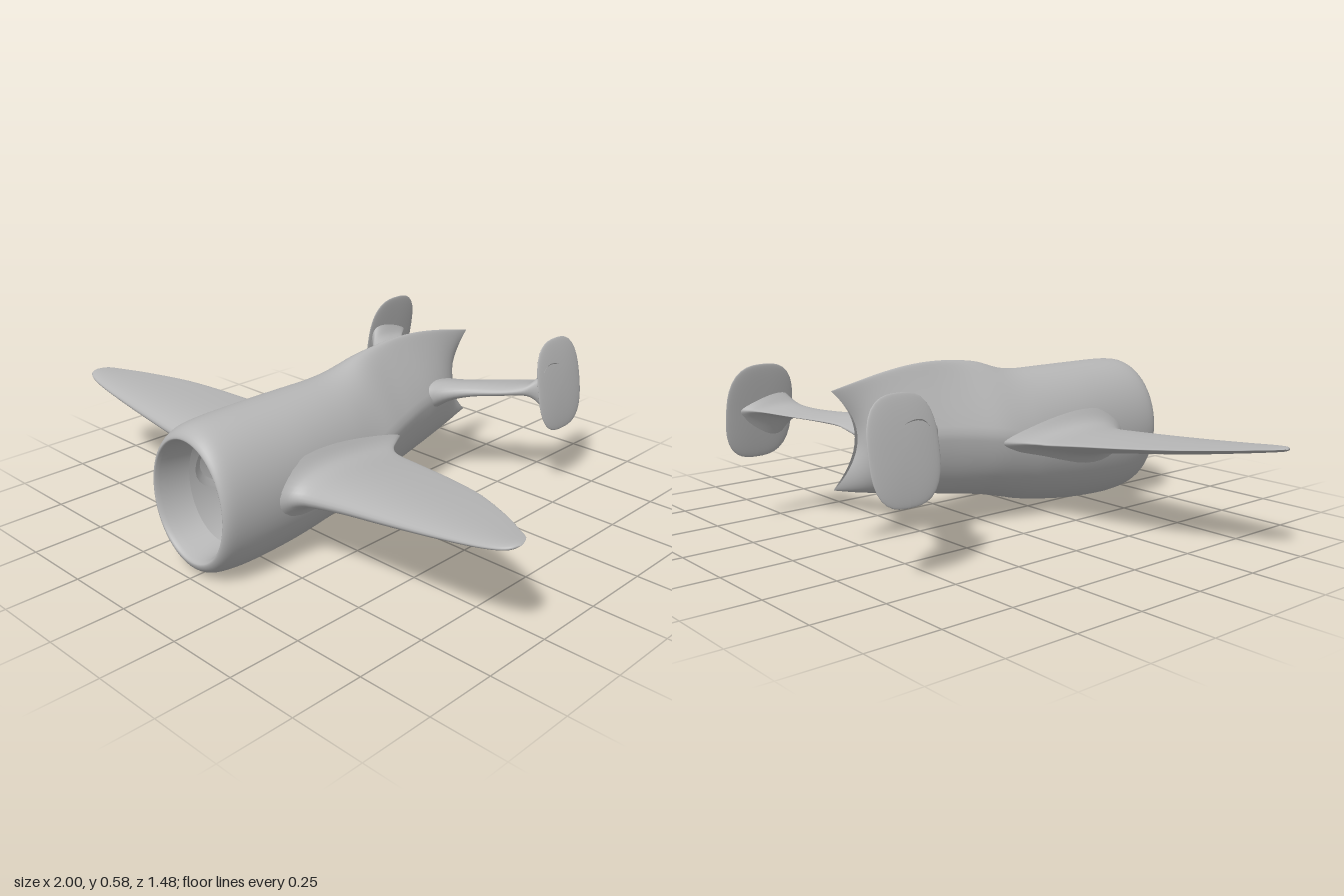
import * as THREE from 'three';

const paint = new THREE.MeshStandardMaterial({ color: 0xb6b6b6, side: THREE.DoubleSide });
paint.name = 'plain grey';

// Smoothly subdivide a list of stations (rows of numbers)
function refine(rows, steps) {
  const out = [];
  const n = rows.length - 1;
  for (let i = 0; i < n; i++) {
    const a = rows[Math.max(i - 1, 0)], b = rows[i], c = rows[i + 1], d = rows[Math.min(i + 2, n)];
    for (let k = 0; k < steps; k++) {
      const t = k / steps;
      out.push(b.map((v, m) => {
        // limited tangents avoid overshoot
        const t0 = (c[m] - a[m]) / 2, t1 = (d[m] - v) / 2, dv = c[m] - v;
        const lim = (s) => (s * dv <= 0 ? 0 : Math.sign(dv) * Math.min(Math.abs(s), 2 * Math.abs(dv)));
        const h = t * t * (3 - 2 * t);
        return v + h * dv + t * (1 - t) * (1 - t) * lim(t0) - t * t * (1 - t) * lim(t1);
      }));
    }
  }
  out.push(rows[n]);
  return out;
}

// Skin a closed ring of points through every station
function loft(name, rows, segs, point, flip = false) {
  const pos = [], idx = [];
  rows.forEach((row, i) => {
    for (let j = 0; j < segs; j++) {
      pos.push(...point(row, (j / segs) * Math.PI * 2));
      if (i === rows.length - 1) continue;
      const a = i * segs + j, b = i * segs + ((j + 1) % segs), c = b + segs, d = a + segs;
      if (flip) idx.push(a, d, b, b, d, c);
      else idx.push(a, b, d, b, c, d);
    }
  });
  const g = new THREE.BufferGeometry();
  g.setAttribute('position', new THREE.Float32BufferAttribute(pos, 3));
  g.setIndex(idx);
  g.computeVertexNormals();
  const mesh = new THREE.Mesh(g, paint);
  mesh.name = name;
  return mesh;
}

// Hollow body: z, bottom y, top y, half width, ridge pinch, tail notch
const BODY = [
  [0.62, 0.085, 0.445, 0.147, 0, 0],
  [0.725, 0.065, 0.462, 0.162, 0, 0],
  [0.742, 0.052, 0.472, 0.17, 0, 0],
  [0.725, 0.025, 0.494, 0.184, 0, 0],
  [0.68, 0.008, 0.51, 0.192, 0, 0],
  [0.58, 0.0, 0.516, 0.197, 0, 0],
  [0.4, 0.01, 0.517, 0.2, 0, 0],
  [0.2, 0.04, 0.518, 0.196, 0.1, 0],
  [0.1, 0.065, 0.53, 0.19, 0.25, 0],
  [0.0, 0.09, 0.56, 0.178, 0.5, 0],
  [-0.1, 0.108, 0.574, 0.155, 0.68, 0],
  [-0.2, 0.126, 0.579, 0.132, 0.75, 0],
  [-0.3, 0.143, 0.574, 0.112, 0.75, 0],
  [-0.4, 0.16, 0.56, 0.085, 0.72, 0.01],
  [-0.5, 0.178, 0.54, 0.05, 0.7, 0.04],
  [-0.592, 0.2, 0.52, 0.008, 0.5, 0.09],
];

// Aerofoils: x, leading z, trailing z, centre y, thickness
const WING = [
  [0.18, 0.57, -0.03, 0.28, 0.22],
  [0.2, 0.535, 0.01, 0.28, 0.155],
  [0.225, 0.505, 0.05, 0.28, 0.115],
  [0.27, 0.485, 0.077, 0.281, 0.095],
  [0.4, 0.475, 0.108, 0.295, 0.078],
  [0.55, 0.47, 0.142, 0.31, 0.064],
  [0.7, 0.465, 0.188, 0.326, 0.05],
  [0.85, 0.458, 0.263, 0.343, 0.034],
  [0.94, 0.447, 0.32, 0.354, 0.024],
  [0.985, 0.428, 0.352, 0.36, 0.016],
  [1.0, 0.4, 0.385, 0.362, 0.004],
];
const TAIL = [
  [0.05, -0.18, -0.475, 0.35, 0.13],
  [0.1, -0.235, -0.478, 0.362, 0.1],
  [0.14, -0.295, -0.488, 0.373, 0.065],
  [0.2, -0.355, -0.523, 0.382, 0.045],
  [0.3, -0.42, -0.583, 0.391, 0.035],
  [0.36, -0.462, -0.63, 0.4, 0.045],
  [0.388, -0.488, -0.67, 0.405, 0.1],
  [0.41, -0.505, -0.7, 0.405, 0.18],
];

function aerofoil(side, tilt) {
  return ([x, lead, trail, y, thick], a) => {
    const u = (1 - Math.cos(a)) / 2;
    return [
      side * x,
      y + (thick / 2) * Math.sin(a) * (0.35 + 1.0 * u) - tilt * (lead - trail) * (u - 0.5),
      trail + (lead - trail) * u,
    ];
  };
}

// Upright rounded plate, leaning inward toward the top
function endPlate(side) {
  const g = new THREE.SphereGeometry(1, 40, 28);
  g.rotateZ(Math.PI / 2);
  const p = g.attributes.position;
  const squarish = 0.72;
  for (let i = 0; i < p.count; i++) {
    const x = p.getX(i), y = p.getY(i), z = p.getZ(i);
    const r = Math.hypot(y, z) || 1;
    const c = y / r, s = z / r;
    const k = r / Math.pow(Math.abs(c) ** (2 / squarish) + Math.abs(s) ** (2 / squarish), squarish / 2);
    const v = c * k;
    p.setXYZ(i, side * (0.414 - 0.029 * v - 0.004 * v * v) + 0.011 * x, 0.403 + 0.164 * v, -0.616 + 0.126 * s * k);
  }
  g.computeVertexNormals();
  const mesh = new THREE.Mesh(g, paint);
  mesh.name = side > 0 ? 'leftTailPlate' : 'rightTailPlate';
  return mesh;
}

export function createModel() {
  const plane = new THREE.Group();
  plane.name = 'aeroplane';

  // Fuselage with intake lip, spine ridge and notched tail
  plane.add(loft('fuselage', refine(BODY, 4), 64, ([z, low, high, half, pinch, notch], a) => {
    const c = Math.cos(a), s = Math.sin(a);
    return [
      half * s * (1 - pinch * Math.max(0, c)),
      (low + high) / 2 + ((high - low) / 2) * c,
      z + notch * s * s,
    ];
  }));

  // Wings, tailplanes and end plates on both sides
  for (const side of [1, -1]) {
    const word = side > 0 ? 'left' : 'right';
    plane.add(loft(word + 'Wing', refine(WING, 4), 40, aerofoil(side, 0.08), side < 0));
    plane.add(loft(word + 'Tailplane', refine(TAIL, 4), 32, aerofoil(side, 0.06), side < 0));
    plane.add(endPlate(side));
  }
  return plane;
}
